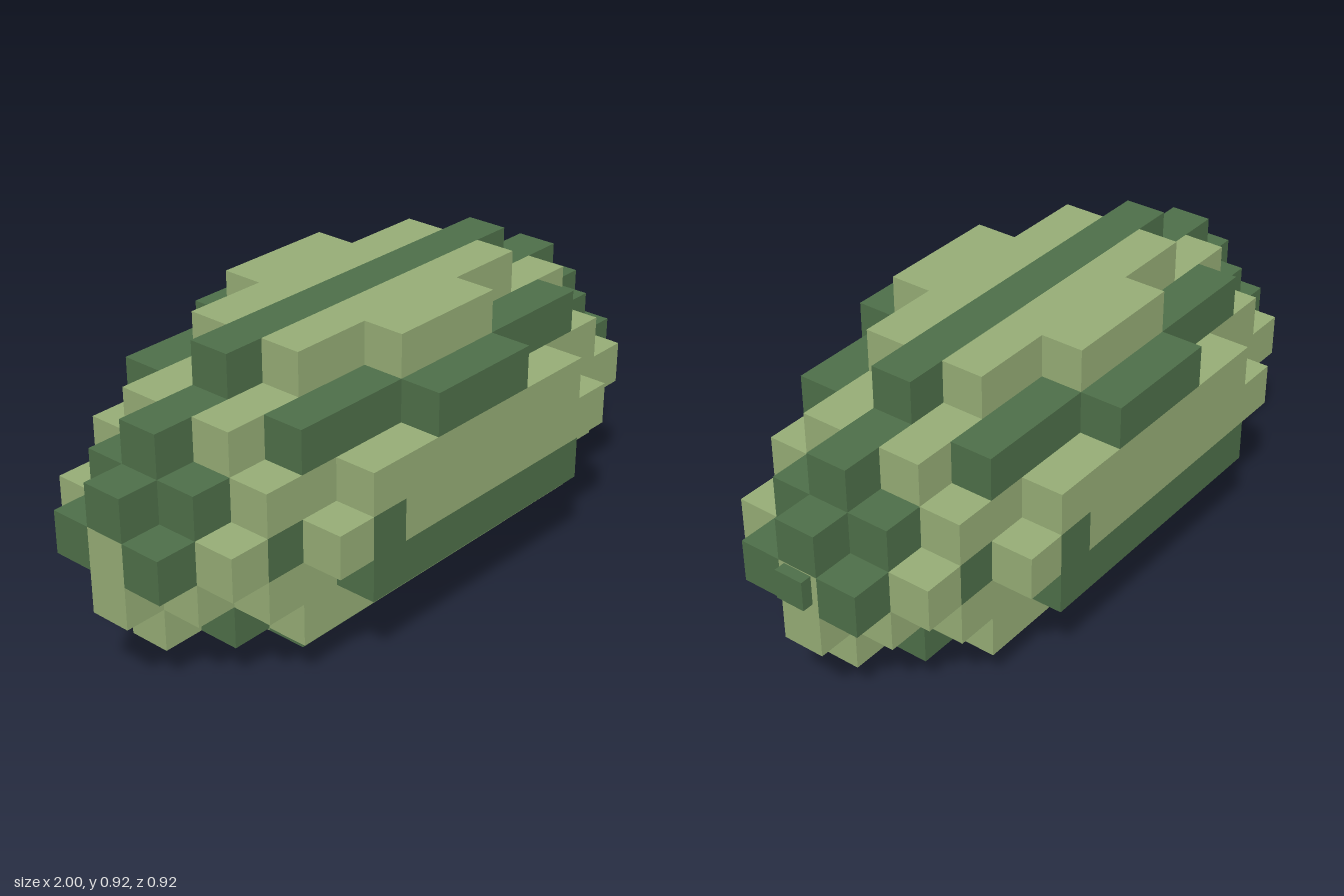
import * as THREE from 'three';

const U = 0.131;        // block size
const CELLS = 15;       // blocks along the length
const X0 = -1;          // left end of the block grid

export function createModel() {
  const model = new THREE.Group();
  model.name = 'blockMelon';

  const light = new THREE.MeshStandardMaterial({ color: 0x96ad76 });
  light.name = 'lightRind';
  const dark = new THREE.MeshStandardMaterial({ color: 0x4e6f49 });
  dark.name = 'darkStripe';

  // One bar of blocks from column a to b (inclusive), in layer j and slice k
  function bar(a, b, j, k, material) {
    const mesh = new THREE.Mesh(new THREE.BoxGeometry((b - a + 1) * U, U, U), material);
    mesh.position.set(X0 + ((a + b + 1) / 2) * U, (j + 0.5) * U, k * U);
    mesh.name = material === dark ? 'darkStripe' : 'lightRind';
    model.add(mesh);
  }

  // Layers from bottom to top; in each, slices from the middle outwards,
  // each slice a list of [first column, last column, material]
  const layers = [
    [[[4, 10, light]], [[4, 10, dark]]],
    [[[1, 13, light]], [[2, 12, dark]], [[3, 11, light]]],
    [[[0, 14, light]], [[1, 13, light]], [[2, 12, light]], [[4, 10, dark]]],
    [[[0, 14, light]], [[0, 14, dark]],
      [[1, 1, light], [2, 2, dark], [3, 13, light]],
      [[3, 3, light], [4, 4, dark], [5, 11, light]]],
    [[[0, 14, dark]], [[1, 13, dark]], [[2, 12, light]], [[4, 10, light]]],
    [[[1, 13, dark]], [[2, 12, light]], [[3, 11, dark]], [[6, 8, dark]]],
    [[[3, 11, dark]], [[4, 10, light]], [[6, 8, light]]],
  ];

  // The back half is the front half turned half way round
  layers.forEach((slices, j) => slices.forEach((bars, k) => {
    for (const [a, b, material] of bars) {
      bar(a, b, j, k, material);
      if (k > 0) bar(CELLS - 1 - b, CELLS - 1 - a, j, -k, material);
    }
  }));

  // Short stem on the end
  const stem = new THREE.Mesh(new THREE.BoxGeometry(0.035, 0.092, 0.092), dark);
  stem.position.set(0.9825, 0.475, 0);
  stem.name = 'stem';
  model.add(stem);

  return model;
}
